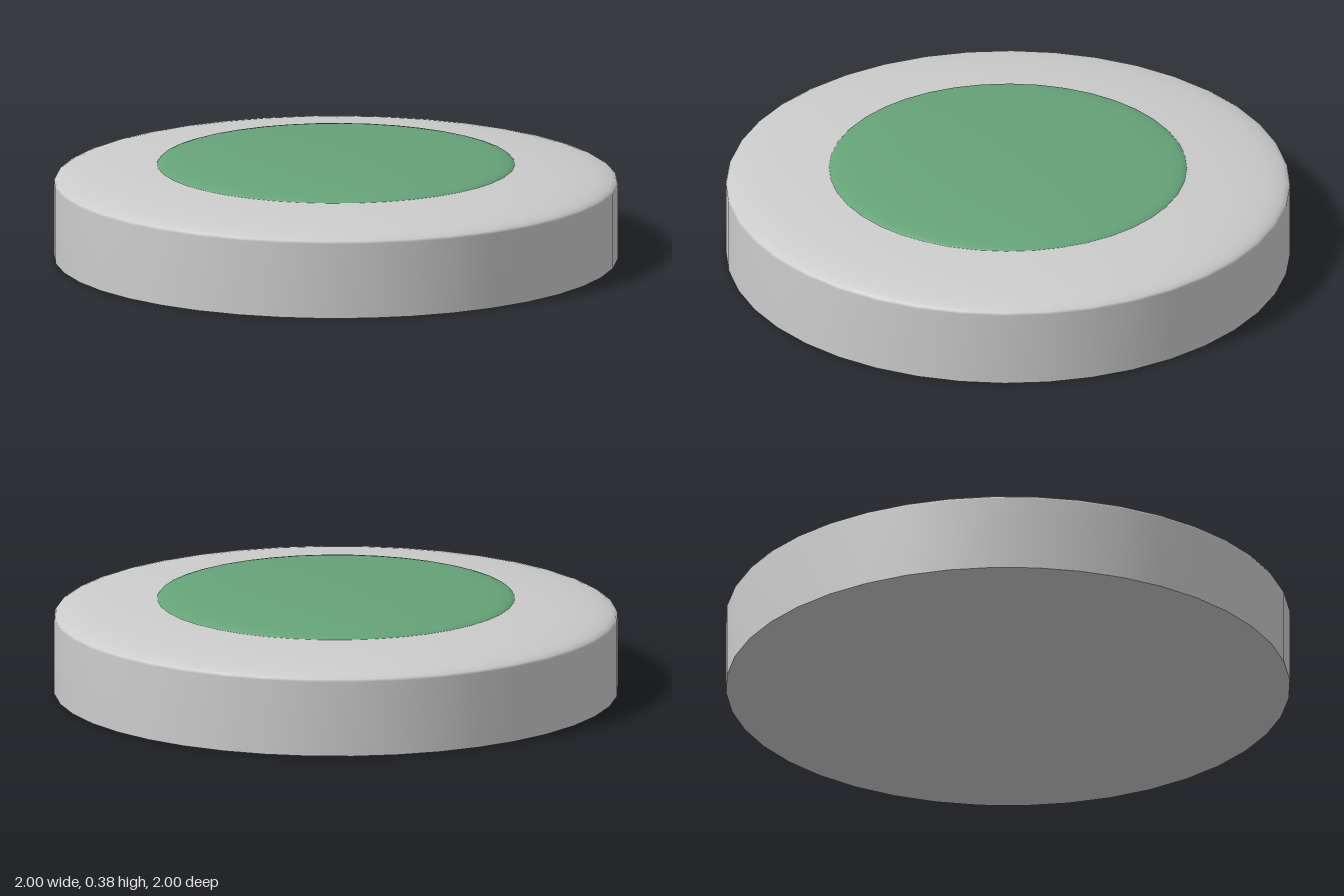
import * as THREE from 'three';

const SEGMENTS = 40;

// Points along a quarter ellipse from (radius, base) up to the axis
function domeProfile(radius, base, height, steps) {
  const points = [];
  for (let i = 0; i <= steps; i++) {
    const a = (i / steps) * Math.PI / 2;
    const r = i === steps ? 0 : radius * Math.cos(a);
    points.push(new THREE.Vector2(r, base + height * Math.sin(a)));
  }
  return points;
}

function addPart(group, name, geometry, material) {
  const mesh = new THREE.Mesh(geometry, material);
  mesh.name = name;
  group.add(mesh);
  return mesh;
}

export function createModel() {
  const model = new THREE.Group();
  model.name = 'domedButton';
  const grey = new THREE.MeshStandardMaterial({ color: 0xcccccc });
  const green = new THREE.MeshStandardMaterial({ color: 0x66a378 });

  // Housing: straight wall rolling into a shallow dome
  const wall = [new THREE.Vector2(1, 0), ...domeProfile(1, 0.27, 0.085, 16)];
  addPart(model, 'housing', new THREE.LatheGeometry(wall, SEGMENTS), grey);

  // Flat underside
  const underside = new THREE.CircleGeometry(1, SEGMENTS).rotateX(Math.PI / 2);
  addPart(model, 'underside', underside, grey);

  // Coloured cap bulging out of the dome
  const cap = domeProfile(0.635, 0.335, 0.04, 12);
  addPart(model, 'cap', new THREE.LatheGeometry(cap, SEGMENTS), green);

  return model;
}
